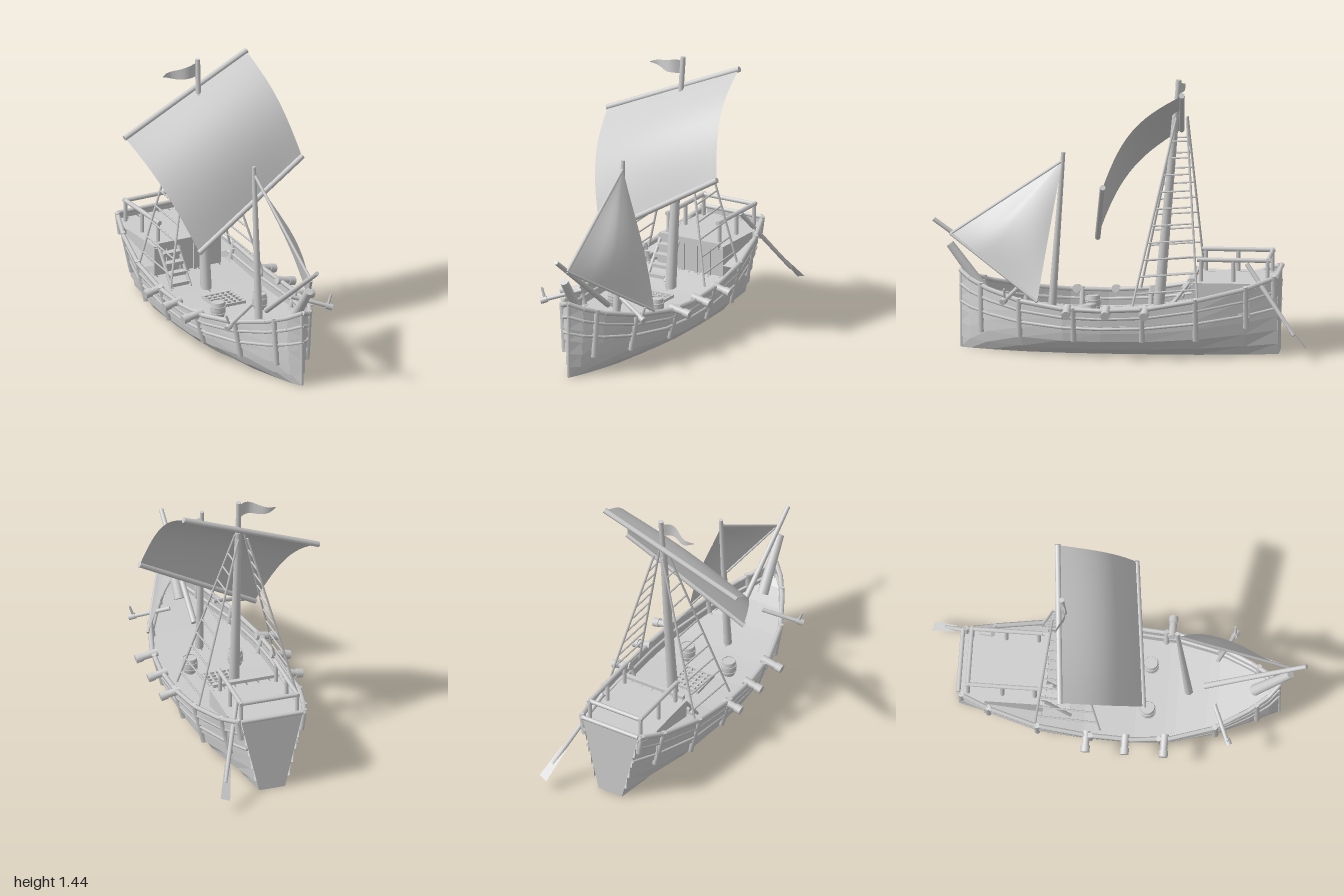
import * as THREE from 'three';

const wood = new THREE.MeshStandardMaterial({ color: 0xcccccc, side: THREE.DoubleSide });
wood.name = 'pale grey';
const V = (x, y, z) => new THREE.Vector3(x, y, z);

// Hull stations: z, half width at the gunwale, gunwale height
const STATIONS = [
  [-0.82, 0.17, 0.43], [-0.65, 0.225, 0.37], [-0.4, 0.282, 0.315], [-0.14, 0.298, 0.27], [0.1, 0.302, 0.258],
  [0.3, 0.284, 0.263], [0.52, 0.222, 0.29], [0.7, 0.125, 0.335], [0.8, 0.055, 0.375], [0.855, 0, 0.41]];
// Section shape: height fraction, width fraction
const SECTION = [[0, 0.45], [0.14, 0.64], [0.32, 0.8], [0.5, 0.87], [0.66, 0.92], [0.82, 0.96], [1, 1]];

function lookup(table, v, col) {
  let i = 0;
  while (i < table.length - 2 && v > table[i + 1][0]) i++;
  const [a, b] = [table[i], table[i + 1]];
  return a[col] + (b[col] - a[col]) * (v - a[0]) / (b[0] - a[0]);
}
const halfWidth = z => lookup(STATIONS, z, 1);
const sheer = z => lookup(STATIONS, z, 2);
// Point on the hull side at station z and height fraction t, pushed out by o;
// the round section straightens into a wedge towards the transom
function hullPoint(s, z, t, o = 0) {
  const w = halfWidth(z), k = Math.max(0, Math.min(1, (-0.4 - z) / 0.42));
  const fullness = THREE.MathUtils.lerp(lookup(SECTION, t, 1), 0.42 + 0.58 * t, k);
  return V(s * (w * fullness + o * Math.min(1, w / 0.06)), t * sheer(z), z);
}

export function createModel() {
  const ship = new THREE.Group();
  ship.name = 'sailingShip';

  const add = (name, geo, x = 0, y = 0, z = 0) => {
    const m = new THREE.Mesh(geo, wood);
    m.name = name;
    m.position.set(x, y, z);
    ship.add(m);
    return m;
  };
  const box = (name, w, h, d, x, y, z) => add(name, new THREE.BoxGeometry(w, h, d), x, y, z);
  // Round spar from a to b
  const spar = (name, a, b, r0, r1 = r0, sides = 10) => {
    const d = b.clone().sub(a);
    const m = add(name, new THREE.CylinderGeometry(r1, r0, d.length(), sides));
    m.position.copy(a).add(b).multiplyScalar(0.5);
    m.quaternion.setFromUnitVectors(V(0, 1, 0), d.normalize());
    return m;
  };
  // Surface from a point function f(u, v)
  const sheet = (name, f, nu, nv, flat = false) => {
    const pos = [], idx = [];
    for (let j = 0; j <= nv; j++) for (let i = 0; i <= nu; i++) pos.push(...f(i / nu, j / nv).toArray());
    for (let j = 0; j < nv; j++) for (let i = 0; i < nu; i++) {
      const a = j * (nu + 1) + i, b = a + nu + 1;
      idx.push(a, a + 1, b, a + 1, b + 1, b);
    }
    let g = new THREE.BufferGeometry();
    g.setAttribute('position', new THREE.Float32BufferAttribute(pos, 3));
    g.setIndex(idx);
    if (flat) g = g.toNonIndexed();
    g.computeVertexNormals();
    return add(name, g);
  };
  const along = u => STATIONS[Math.round(u * (STATIONS.length - 1))][0];
  const N = STATIONS.length - 1;

  // Overlapping hull planks, ribs, wales and gunwales on both sides
  for (const s of [-1, 1]) {
    for (let i = 0; i < SECTION.length - 1; i++) {
      const t0 = SECTION[i][0], t1 = SECTION[i + 1][0], lap = i ? 0.012 : 0;
      sheet('hullPlank', (u, v) => hullPoint(s, along(u), v ? t1 : t0, v ? 0 : lap), N, 1, true);
      if (i) sheet('plankEdge', (u, v) => hullPoint(s, along(u), t0, v * lap), N, 1, true);
    }
    for (const [t, r] of [[1, 0.013], [0.82, 0.009], [0.6, 0.008]])
      for (let i = 0; i < N; i++)
        spar(t === 1 ? 'gunwale' : 'wale', hullPoint(s, STATIONS[i][0], t, 0.007),
          hullPoint(s, STATIONS[i + 1][0], t, 0.007), r, r, 6);
    for (const [z, t] of [[0.74, 0.28], [0.53, 0.32], [0.24, 0.33], [-0.12, 0.33], [-0.4, 0.3], [-0.66, 0.42], [-0.805, 0.75]])
      spar('rib', hullPoint(s, z, t, 0.015), hullPoint(s, z, 1, 0.01).add(V(0, 0.012, 0)), 0.016, 0.014, 8);

    // Guns poking over the side
    for (const z of [0.27, 0.065, -0.14]) {
      const x = halfWidth(z);
      spar('gunBarrel', V(s * (x - 0.015), 0.268, z), V(s * 0.37, 0.25, z), 0.022, 0.018);
      spar('gunMuzzle', V(s * 0.355, 0.253, z), V(s * 0.39, 0.245, z), 0.024, 0.024);
    }

    // Anchor beam with a hook
    spar('anchorBeam', V(s * 0.12, 0.365, 0.52), V(s * 0.3, 0.305, 0.6), 0.011);
    spar('anchorBeamEnd', V(s * 0.285, 0.31, 0.595), V(s * 0.315, 0.298, 0.61), 0.017);
    spar('anchorHook', V(s * 0.295, 0.31, 0.6), V(s * 0.315, 0.37, 0.6), 0.008, 0.006, 6);

    // Shrouds and their rungs
    const foot = [V(s * 0.275, 0.28, -0.07), V(s * 0.27, 0.31, -0.41)];
    const head = [V(s * 0.025, 1.24, -0.28), V(s * 0.025, 1.24, -0.335)];
    foot.forEach((p, i) => spar('shroud', p, head[i], 0.006, 0.006, 6));
    for (let i = 1; i < 11; i++) {
      const t = i * 0.09 - 0.025;
      spar('ratline', foot[0].clone().lerp(head[0], t), foot[1].clone().lerp(head[1], t), 0.005, 0.005, 5);
    }
  }

  // Flat bottom, transom and stem
  sheet('hullBottom', (u, v) => hullPoint(v ? 1 : -1, along(u), 0), N, 1, true);
  sheet('transom', (u, v) => hullPoint(v ? 1 : -1, -0.82, SECTION[Math.round(u * 6)][0]), 6, 1, true);
  spar('sternRail', V(-0.17, 0.43, -0.82), V(0.17, 0.43, -0.82), 0.012, 0.012, 8);
  spar('stem', V(0, 0.005, 0.85), V(0, 0.41, 0.85), 0.008, 0.01, 8);
  spar('stemLog', V(0, 0.29, 0.72), V(0.008, 0.55, 0.91), 0.03, 0.022, 12);

  // Planked decks, each plank trimmed to the hull
  const clamp = (x, w) => Math.max(-w, Math.min(w, x));
  const deck = (name, z0, z1, yAt, wAt) => {
    sheet(name + 'Base', (u, v) => {
      const z = z0 + (z1 - z0) * u;
      return V((v * 2 - 1) * wAt(z), yAt(z) - 0.012, z);
    }, 24, 1, true);
    for (let i = -5; i < 5; i++)
      sheet(name + 'Plank', (u, v) => {
        const z = z0 + (z1 - z0) * u;
        return V(clamp((i + (v ? 0.94 : 0.06)) * 0.062, wAt(z)), yAt(z), z);
      }, 24, 1, true);
  };
  deck('mainDeck', -0.42, 0.85, z => sheer(z) - 0.08, z => halfWidth(z) * 0.945);
  const aftWidth = z => Math.min(0.2, halfWidth(z) - 0.012);
  deck('quarterDeck', -0.815, -0.37, () => 0.398, aftWidth);

  // Cabin under the quarterdeck
  box('cabinFront', 0.4, 0.21, 0.012, 0, 0.285, -0.385);
  box('cabinBeam', 0.36, 0.035, 0.025, 0, 0.398, -0.375);
  for (const s of [-1, 1]) {
    box('cabinSide', 0.012, 0.18, 0.3, s * 0.194, 0.305, -0.53);
    sheet('sideDeck', (u, v) => {
      const z = -0.8 + 0.42 * u;
      return V(s * (v ? halfWidth(z) : aftWidth(z)), Math.min(0.386, sheer(z) - 0.02), z);
    }, 8, 1, true);
    for (const x of [0.04, 0.12]) box('cabinPost', 0.018, 0.21, 0.014, s * x, 0.285, -0.375);
  }
  for (let i = 0; i < 4; i++) box('stair', 0.1, 0.018, 0.04, -0.12, 0.22 + i * 0.045, -0.255 - i * 0.032);
  for (const x of [-0.175, -0.065])
    spar('stairSide', V(x, 0.2, -0.23), V(x, 0.385, -0.37), 0.009, 0.009, 6);

  // Quarterdeck railing
  for (const s of [-1, 1]) {
    for (const z of [-0.42, -0.59, -0.77]) spar('railPost', V(s * 0.155, 0.395, z), V(s * 0.155, 0.51, z), 0.011, 0.011, 8);
    spar('handRail', V(s * 0.155, 0.512, -0.4), V(s * 0.155, 0.512, -0.785), 0.012, 0.012, 8);
  }
  spar('rearHandRail', V(-0.165, 0.512, -0.772), V(0.165, 0.512, -0.772), 0.012, 0.012, 8);

  // Steering oar, its blade widening across the ship
  spar('oarShaft', V(0.14, 0.49, -0.66), V(0.29, 0.14, -0.92), 0.013, 0.011, 8);
  sheet('oarBlade', (u, v) => V(0.257, 0.217, -0.863).lerp(V(0.312, 0.078, -0.985), u)
    .add(V(0.022, 0.007, 0.006).multiplyScalar((v * 2 - 1) * (0.7 + 0.4 * u))), 1, 1, true);

  // Grating and barrels
  for (let i = 0; i < 6; i++) {
    const o = -0.08 + i * 0.032;
    box('gratingBar', 0.01, 0.014, 0.17, o, 0.194, 0.01);
    box('gratingBar', 0.17, 0.014, 0.01, 0, 0.196, 0.01 + o);
  }
  const barrel = [[0.032, 0], [0.039, 0.025], [0.041, 0.043], [0.039, 0.06], [0.035, 0.085]];
  for (const x of [-0.125, 0.125]) {
    add('barrel', new THREE.LatheGeometry(barrel.map(p => new THREE.Vector2(...p)), 14), x, 0.178, 0.17);
    add('barrelLid', new THREE.CircleGeometry(0.035, 14).rotateX(-Math.PI / 2), x, 0.259, 0.17);
    for (const y of [0.203, 0.238]) add('barrelHoop', new THREE.TorusGeometry(0.039, 0.004, 5, 14).rotateX(Math.PI / 2), x, y, 0.17);
  }

  // Masts and bowsprit
  spar('mainMast', V(0, 0.17, -0.18), V(0.006, 1.25, -0.275), 0.03, 0.018, 12);
  spar('topMast', V(0.006, 1.24, -0.275), V(0.01, 1.44, -0.292), 0.014, 0.014, 12);
  spar('foreMast', V(0.005, 0.18, 0.377), V(0.01, 1.045, 0.315), 0.022, 0.011, 12);
  spar('bowsprit', V(0.005, 0.29, 0.46), V(0.01, 0.68, 0.995), 0.016, 0.012, 10);

  // Square mainsail on two slanting yards, bulging in line with its side edges
  const [tl, tr, bl, br] = [V(-0.44, 1.09, -0.268), V(0.328, 1.415, -0.335), V(-0.23, 0.55, 0.155), V(0.437, 0.94, 0.072)];
  spar('upperYard', tl, tr, 0.015);
  spar('lowerYard', bl, br, 0.015);
  sheet('mainSail', (u, v) => {
    const a = 0.005 + 0.99 * u, bulge = Math.sin(Math.PI * v) * (0.054 + 0.012 * Math.sin(Math.PI * u));
    return tl.clone().lerp(tr, a).lerp(bl.clone().lerp(br, a), v).add(V((0.16 * u - 0.39) * bulge, bulge, bulge));
  }, 14, 14);

  // Three-cornered foresail with edge spars
  const [peak, tack, clew] = [V(0.012, 1.0, 0.32), V(0.025, 0.605, 0.905), V(0.27, 0.295, 0.43)];
  sheet('foreSail', (u, v) => {
    const bulge = 0.17 * Math.sin(Math.PI * v) * v * (0.35 + u * (1 - u) * 2) * (1 - v * 0.35);
    return peak.clone().lerp(tack.clone().lerp(clew, u), v)
      .add(V(0.65, 0.15, 0.2 * (1 - u)).multiplyScalar(bulge * Math.min(1, u * 3)));
  }, 12, 12);
  spar('foreSailStay', peak, tack, 0.008, 0.008, 6);
  spar('foreSailBoom', tack, clew, 0.008, 0.008, 6);

  // Waving pennant
  sheet('pennant', (u, v) => {
    const top = 1.422 - 0.01 * u - 0.038 * u * u, h = 0.07 * (1 - u * u) + 0.004;
    return V(-0.195 * u, top - h * v + 0.004 * Math.sin(u * 8), -0.29 + 0.022 * Math.sin(u * 6));
  }, 12, 2);

  return ship;
}
